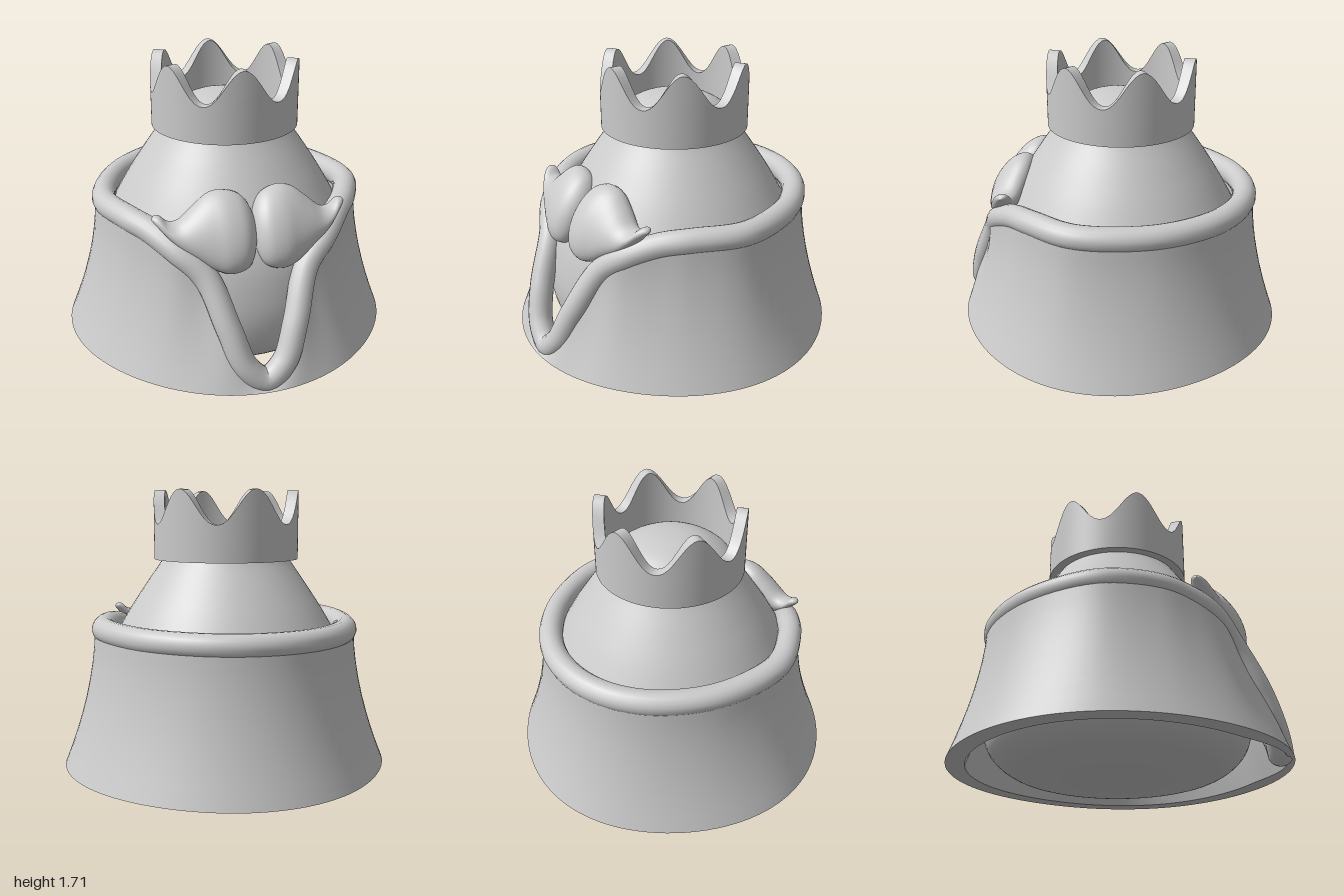
import * as THREE from 'three';
import { mergeVertices, toCreasedNormals } from 'three/addons/utils/BufferGeometryUtils.js';

const V = (x, y, z = 0) => new THREE.Vector3(x, y, z);
const TAU = Math.PI * 2;

// Surface from a rule fn(u, v) -> Vector3, outward side along du x dv
function grid(fn, nu, nv) {
  const pos = [], idx = [];
  for (let i = 0; i <= nu; i++)
    for (let j = 0; j <= nv; j++) pos.push(...fn(i / nu, j / nv).toArray());
  for (let i = 0; i < nu; i++)
    for (let j = 0; j < nv; j++) {
      const a = i * (nv + 1) + j, b = a + nv + 1;
      idx.push(a, b, b + 1, a, b + 1, a + 1);
    }
  const g = new THREE.BufferGeometry();
  g.setAttribute('position', new THREE.Float32BufferAttribute(pos, 3));
  g.setIndex(idx);
  const merged = mergeVertices(g, 1e-5);
  merged.computeVertexNormals();
  return merged;
}

export function createModel() {
  const model = new THREE.Group();
  const mat = new THREE.MeshStandardMaterial({ color: 0xcccccc, side: THREE.DoubleSide });
  const add = (name, geometry) => {
    const mesh = new THREE.Mesh(geometry, mat);
    mesh.name = name;
    model.add(mesh);
    return mesh;
  };

  // Body: rounded base, sloping shoulders, domed head
  const side = new THREE.SplineCurve([
    [0, 0.005], [0.3, 0.01], [0.5, 0.025], [0.64, 0.06], [0.75, 0.16], [0.79, 0.32], [0.785, 0.5],
    [0.735, 0.72], [0.615, 0.95], [0.5, 1.13], [0.39, 1.29], [0.34, 1.38], [0.22, 1.46], [0.1, 1.493], [0, 1.5],
  ].map(p => new THREE.Vector2(...p))).getPoints(70);
  side.forEach(p => { p.x = Math.max(p.x, 0); });
  add('body', new THREE.LatheGeometry(side, 64)).position.z = -0.01;

  // Crown: ring wall with six rounded points
  const crown = grid((u, v) => {
    const a = u * TAU, k = Math.round(v * 4) % 4;
    const r = k < 2 ? 0.435 : 0.37;
    const top = 1.51 + 0.2 * Math.pow(0.5 + 0.5 * Math.cos(6 * a), 1.1);
    return V(r * Math.sin(a), k === 0 || k === 3 ? 1.3 : top, r * Math.cos(a));
  }, 120, 4);
  add('crown', toCreasedNormals(crown, 0.7)).position.z = -0.012;

  // Rolled collar: closed path from the low front point round the back
  const half = [
    [0.11, 0.19, 0.905], [0.19, 0.40, 0.84], [0.285, 0.66, 0.71], [0.42, 0.79, 0.62], [0.54, 0.865, 0.48],
    [0.64, 0.89, 0.34], [0.745, 0.89, 0.06], [0.65, 0.885, -0.33], [0.45, 0.885, -0.59], [0.24, 0.885, -0.72],
  ];
  const path = new THREE.CatmullRomCurve3([
    V(0, 0.1, 0.92), ...half.map(p => V(...p)), V(0, 0.885, -0.765),
    ...half.slice().reverse().map(([x, y, z]) => V(-x, y, z)),
  ], true);
  add('collarRoll', new THREE.TubeGeometry(path, 200, 0.072, 16, true));

  // Cape: thick flared shell hanging from the collar to a level hem
  const N = 8;
  const cape = grid((u, v) => {
    const p = path.getPoint(u % 1);
    const a = Math.atan2(p.x, p.z), rTop = Math.hypot(p.x, p.z);
    const away = THREE.MathUtils.smoothstep(Math.abs(a), 0.08, 0.6);
    const k = Math.round(v * (2 * N + 2)) % (2 * N + 2);
    const outer = k <= N;
    const s = outer ? 1 - k / N : (k - N - 1) / N;
    const hem = 0.975 + 0.022 * Math.cos(2 * a) ** 2;
    const start = rTop + (outer ? 0.02 + 0.035 * away : -0.03);
    const end = hem - (outer ? 0 : 0.04 + 0.07 * away);
    const r = THREE.MathUtils.lerp(start, end, Math.pow(s, 1 + 0.7 * away));
    return V(r * Math.sin(a), THREE.MathUtils.lerp(p.y, 0.065, s), r * Math.cos(a));
  }, 160, 2 * N + 2);
  add('cape', toCreasedNormals(cape, 0.7));

  // Moustache: stations of [x, y centre, z centre, half height, half depth]
  const stations = [
    [-0.012, 0.89, 0.64, 0, 0], [0, 0.885, 0.64, 0.085, 0.05], [0.03, 0.88, 0.64, 0.155, 0.095],
    [0.08, 0.885, 0.64, 0.195, 0.12], [0.16, 0.89, 0.635, 0.21, 0.125], [0.24, 0.893, 0.62, 0.188, 0.115],
    [0.32, 0.888, 0.61, 0.133, 0.1], [0.4, 0.882, 0.6, 0.074, 0.08], [0.46, 0.907, 0.585, 0.043, 0.065],
    [0.505, 0.95, 0.57, 0.035, 0.045], [0.535, 0.968, 0.56, 0.018, 0.025], [0.55, 0.968, 0.56, 0, 0],
  ];
  const spine = new THREE.CatmullRomCurve3(stations.map(s => V(s[0], s[1], s[2])), false, 'catmullrom');
  const size = new THREE.CatmullRomCurve3(stations.map(s => V(s[3], s[4])), false, 'catmullrom');
  for (const s of [1, -1]) {
    add(s > 0 ? 'moustacheLeft' : 'moustacheRight', grid((u, v) => {
      const c = spine.getPoint(u), h = size.getPoint(u), a = s * TAU * (v % 1);
      const up = h.x * Math.sin(a);
      return V(s * c.x, c.y + up, c.z - 0.4 * up + h.y * Math.cos(a));
    }, 55, 32));
  }
  return model;
}
